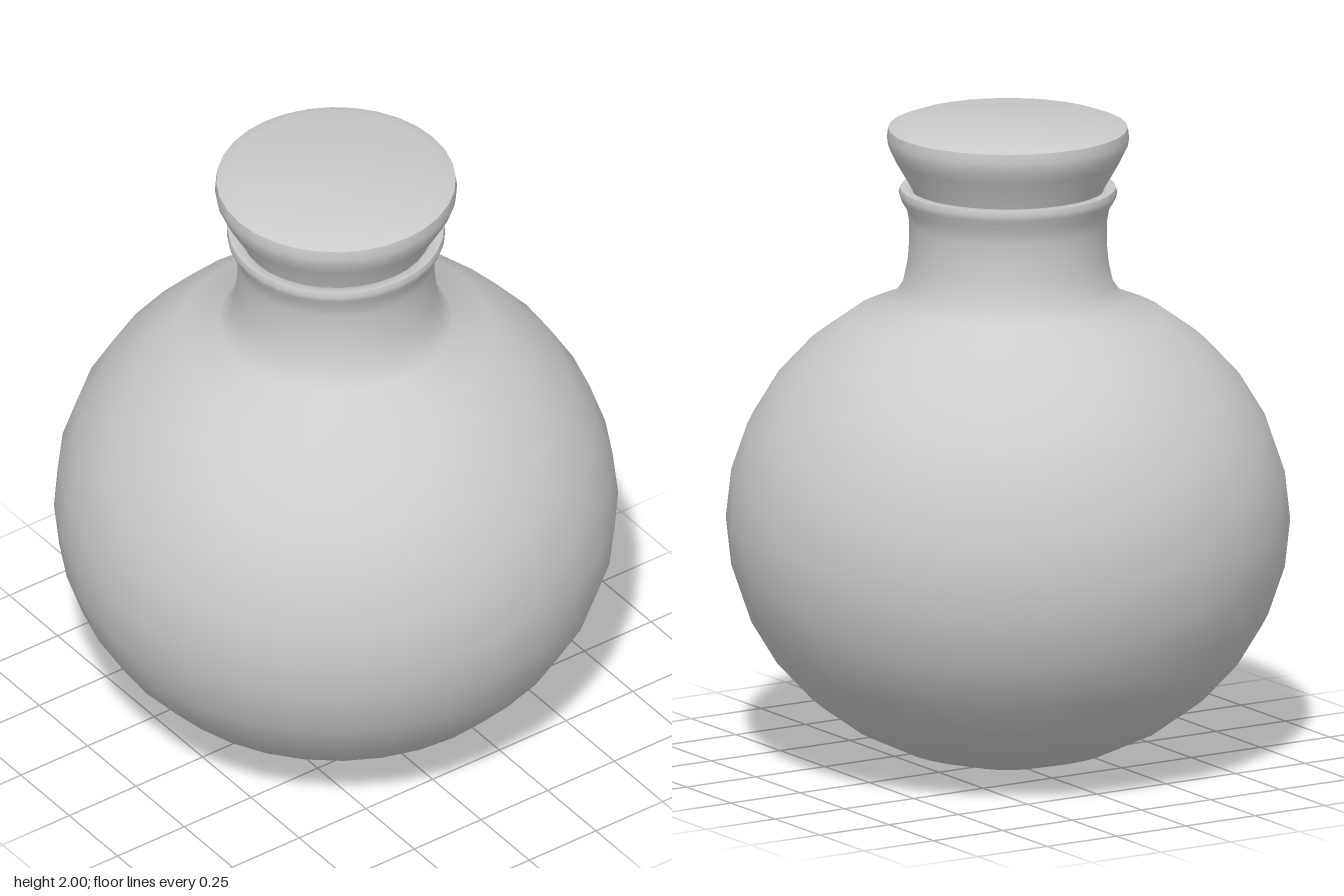
import * as THREE from 'three';
import { toCreasedNormals } from 'three/addons/utils/BufferGeometryUtils.js';

const SEGMENTS = 32;
const material = new THREE.MeshStandardMaterial({ color: 0xcccccc, side: THREE.DoubleSide });

// Turned part from a bottom-to-top profile of [radius, height] pairs
function turned(name, profile, crease) {
  const points = profile.map(([r, y]) => new THREE.Vector2(r, y));
  const geometry = toCreasedNormals(new THREE.LatheGeometry(points, SEGMENTS), crease);
  const mesh = new THREE.Mesh(geometry, material);
  mesh.name = name;
  return mesh;
}

export function createModel() {
  const group = new THREE.Group();
  group.name = 'stopperedFlask';

  // Slightly squashed round bulb, from the base up to the shoulder
  const bulb = [];
  for (let i = 0; i <= 13; i++) {
    const a = (i / 16) * Math.PI;
    bulb.push([0.857 * Math.sin(a), 0.767 - 0.762 * Math.cos(a)]);
  }

  // Shoulder, neck, flared lip and the inside of the neck
  const neck = [
    [0.355, 1.45], [0.32, 1.5], [0.305, 1.57], [0.3, 1.63], [0.3, 1.69],
    [0.308, 1.735], [0.328, 1.768], [0.332, 1.785], [0.328, 1.8],
    [0.3, 1.8], [0.282, 1.78], [0.275, 1.7], [0.275, 1.5],
  ];
  group.add(turned('flaskBody', [...bulb, ...neck], 0.9));

  // Flared stopper with a plug reaching into the neck
  group.add(turned('stopper', [
    [0, 1.6], [0.25, 1.6], [0.27, 1.72], [0.293, 1.8], [0.345, 1.89],
    [0.364, 1.93], [0.368, 1.955], [0.364, 1.985], [0.325, 2], [0, 2],
  ], 0.6));

  return group;
}
